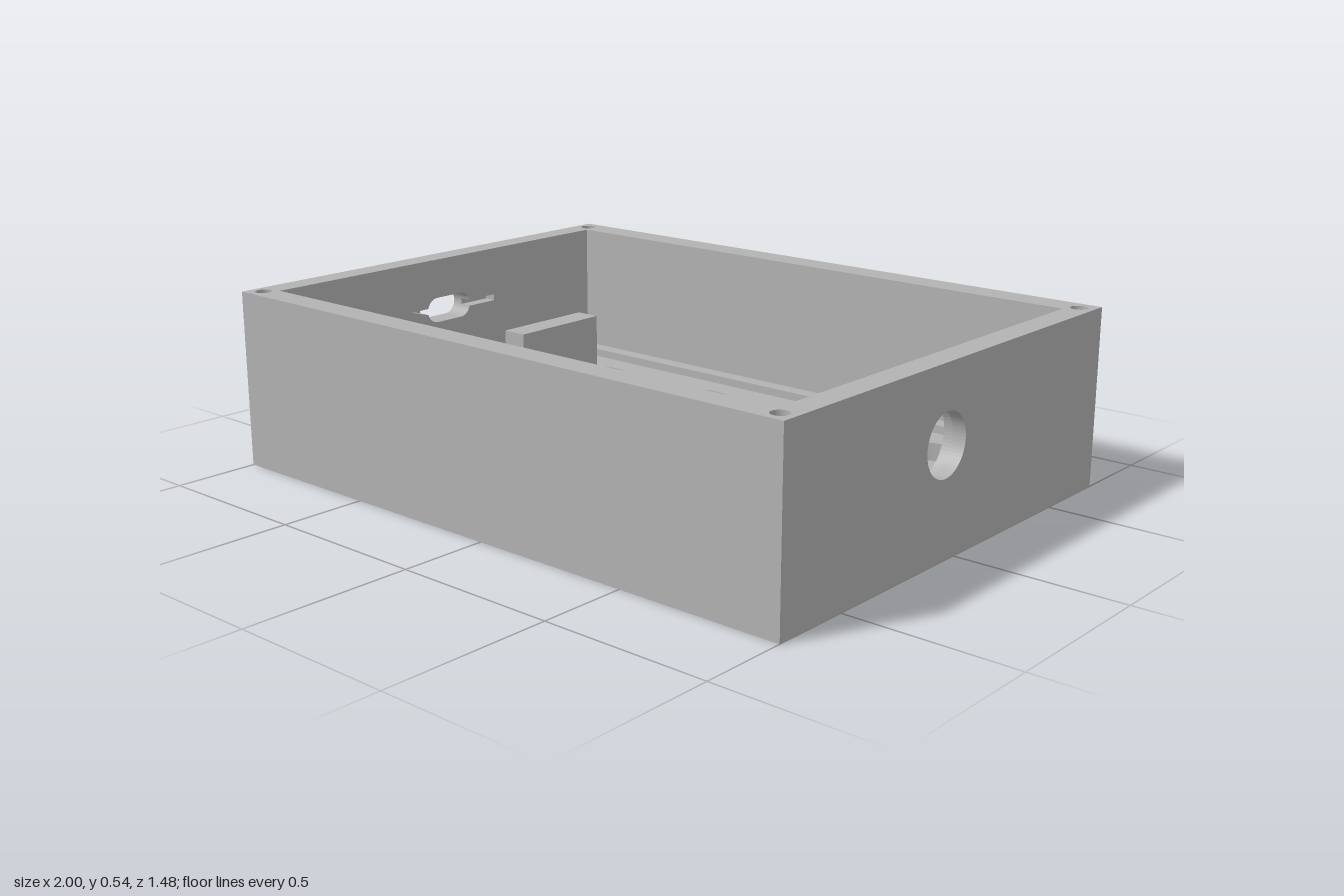
import * as THREE from 'three';

const H = 0.535, CROWN = 0.435, FLOOR = 0.05, PLATE = 0.105;
const columns = [-0.665, -0.222, 0.222, 0.665];

const rect = (x0, y0, x1, y1, T = THREE.Shape) => new T([
  new THREE.Vector2(x0, y0), new THREE.Vector2(x1, y0),
  new THREE.Vector2(x1, y1), new THREE.Vector2(x0, y1), new THREE.Vector2(x0, y0)]);
const circle = (x, y, r) => new THREE.Path().absarc(x, y, r, 0, Math.PI * 2, false);

export function createModel() {
  const model = new THREE.Group();
  const grey = new THREE.MeshStandardMaterial({ color: 0xb2b2b2 });
  grey.name = 'grey plastic';

  const add = (name, geometry) => {
    const mesh = new THREE.Mesh(geometry, grey);
    mesh.name = name;
    model.add(mesh);
    return mesh;
  };
  const extrude = (shape, holes, depth) => {
    shape.holes.push(...holes);
    return new THREE.ExtrudeGeometry(shape, { depth, bevelEnabled: false, curveSegments: 32 });
  };
  // horizontal layer: shape drawn in x, z
  const layer = (name, shape, holes, y0, y1) =>
    add(name, extrude(shape, holes, y1 - y0).rotateX(Math.PI / 2).translate(0, y1, 0));
  // side wall layer: shape drawn in -z, y
  const side = (name, holes, x0, x1) =>
    add(name, extrude(rect(-0.74, FLOOR, 0.74, CROWN), holes, x1 - x0)
      .rotateY(Math.PI / 2).translate(x0, 0, 0));
  const box = (name, x0, x1, y0, y1, z0, z1) =>
    add(name, new THREE.BoxGeometry(x1 - x0, y1 - y0, z1 - z0)
      .translate((x0 + x1) / 2, (y0 + y1) / 2, (z0 + z1) / 2));

  // base with large front holes and stepped rear holes
  const floorHoles = (r) => [
    ...columns.flatMap((x) => [circle(x, 0.405, 0.15), circle(x, -0.335, r)]),
    circle(-0.87, 0.225, 0.03)];
  layer('baseLower', rect(-1, -0.74, 1, 0.74), floorHoles(0.072), 0, 0.025);
  layer('baseUpper', rect(-1, -0.74, 1, 0.74), floorHoles(0.107), 0.025, FLOOR);

  // raised plate with keyhole-shaped pockets
  const a = Math.acos(0.15 / 0.185);
  const pockets = columns.map((x) => {
    const p = new THREE.Path();
    p.moveTo(x + 0.15, -0.08);
    p.absarc(x, -0.335, 0.185, a, Math.PI - a, true);
    p.lineTo(x - 0.15, -0.08);
    p.closePath();
    return p;
  });
  layer('pocketPlate', rect(-0.925, -0.6, 0.925, 0.165), pockets, FLOOR, PLATE);
  box('rearLedge', -0.925, 0.925, FLOOR, 0.13, -0.65, -0.6);
  box('frontLip', -0.925, 0.925, FLOOR, 0.08, 0.653, 0.66);

  // long walls
  box('frontWall', -0.925, 0.925, FLOOR, CROWN, 0.66, 0.74);
  box('backWall', -0.925, 0.925, FLOOR, CROWN, -0.74, -0.65);

  // wall with a round port, wider on the inside
  side('portWallInner', [circle(-0.055, 0.315, 0.105)], 0.925, 0.96);
  side('portWallOuter', [circle(-0.055, 0.315, 0.09)], 0.96, 1);

  // wall with a slotted port and a board groove on the inside
  const PI = Math.PI, y = 0.37, r = 0.04, g = Math.asin(0.25);
  const slot = new THREE.Path();
  slot.absarc(-0.05, y, r, PI / 2, PI * 1.5, false);
  slot.absarc(0.05, y, r, -PI / 2, PI / 2, false);
  slot.closePath();
  const groove = new THREE.Path();
  groove.moveTo(-0.16, y - 0.01);
  groove.absarc(-0.05, y, r, PI + g, PI * 1.5, false);
  groove.absarc(0.05, y, r, -PI / 2, -g, false);
  groove.lineTo(0.2, y - 0.01);
  groove.lineTo(0.2, y + 0.01);
  groove.absarc(0.05, y, r, g, PI / 2, false);
  groove.absarc(-0.05, y, r, PI / 2, PI - g, false);
  groove.lineTo(-0.16, y + 0.01);
  groove.closePath();
  side('slotWallOuter', [slot], -1, -0.965);
  side('slotWallInner', [groove], -0.965, -0.925);

  // rim with blind screw holes
  const screws = [-0.955, 0.955].flatMap((x) => [circle(x, -0.69, 0.025), circle(x, 0.695, 0.025)]);
  layer('rim', rect(-1, -0.74, 1, 0.74),
    [rect(-0.925, -0.65, 0.925, 0.66, THREE.Path), ...screws], CROWN, H);

  // upright board stop
  box('boardStop', -0.5, -0.423, PLATE, 0.39, -0.165, 0.155);

  return model;
}
